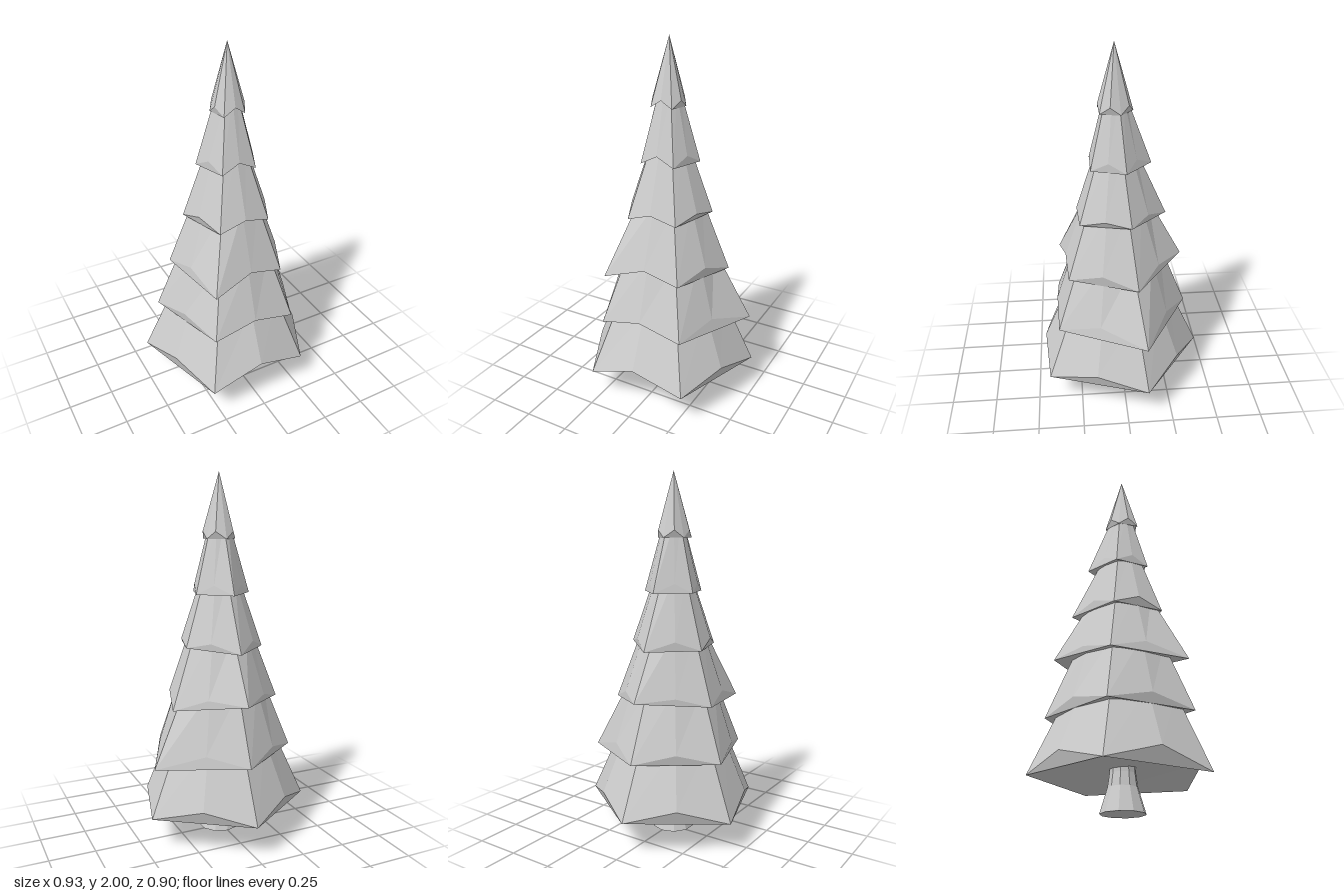
import * as THREE from 'three';

const AXIS_Z = 0.035; // the tree stands slightly forward of the origin

// Each tier: radius and height of the valleys, then radius and height of the
// five branch tips (back, left-back, left-front, right-front, right-back).
const TIERS = [
  { r: 0.417, y: 0.25, tipR: [0.485, 0.488, 0.487, 0.487, 0.488], tipY: [0.18, 0.175, 0.18, 0.155, 0.17] },
  { r: 0.338, y: 0.53, tipR: [0.405, 0.465, 0.41, 0.41, 0.405], tipY: [0.475, 0.45, 0.47, 0.47, 0.475] },
  { r: 0.28, y: 0.82, tipR: [0.37, 0.335, 0.33, 0.39, 0.325], tipY: [0.80, 0.75, 0.765, 0.75, 0.77] },
  { r: 0.21, y: 1.11, tipR: [0.28, 0.237, 0.245, 0.245, 0.24], tipY: [1.06, 1.08, 1.07, 1.06, 1.06] },
  { r: 0.135, y: 1.41, tipR: [0.195, 0.165, 0.165, 0.165, 0.165], tipY: [1.36, 1.36, 1.36, 1.36, 1.36] },
  { r: 0.088, y: 1.69, tipR: [0.097, 0.088, 0.1, 0.105, 0.088], tipY: [1.65, 1.65, 1.65, 1.65, 1.65] },
];

// Underside: a flap below each valley except the front one, then a fan from it
const UNDERSIDE = [
  [0, 1, 2], [2, 3, 4], [6, 7, 8], [8, 9, 0],
  [5, 6, 8], [5, 8, 0], [5, 0, 2], [5, 2, 4],
];

// Point around the trunk axis; step 0 is the back, ten steps per turn
function ringPoint(step, r, y) {
  const a = (step * Math.PI) / 5;
  return [r * Math.sin(a), y, AXIS_Z - r * Math.cos(a)];
}

// Star-hemmed skirt: sloping outside plus a closed underside
function tierGeometry(tier, next) {
  const topR = next ? next.r - 0.03 : 0;
  const topY = next ? next.y + 0.04 : 2;
  const hem = [], top = [], pos = [];
  for (let i = 0; i < 10; i++) {
    const tip = i % 2 === 0, k = i / 2;
    let y = tip ? tier.tipY[k] : tier.y;
    if (tier === TIERS[0] && i === 5) y += 0.02; // raised front arch
    hem.push(ringPoint(i, tip ? tier.tipR[k] : tier.r, y));
    top.push(ringPoint(i, tip ? topR : topR * 0.93, topY));
  }
  for (let i = 0; i < 10; i++) {
    const j = (i + 1) % 10;
    pos.push(...hem[j], ...hem[i], ...top[i]);
    if (next) pos.push(...top[i], ...top[j], ...hem[j]);
  }
  for (const face of UNDERSIDE) for (const i of face) pos.push(...hem[i]);
  const geometry = new THREE.BufferGeometry();
  geometry.setAttribute('position', new THREE.Float32BufferAttribute(pos, 3));
  geometry.computeVertexNormals();
  return geometry;
}

export function createModel() {
  const group = new THREE.Group();
  group.name = 'pineTree';
  const material = new THREE.MeshStandardMaterial({ color: 0xcccccc, flatShading: true });

  // Foliage, from the lowest skirt to the pointed top
  TIERS.forEach((tier, i) => {
    const mesh = new THREE.Mesh(tierGeometry(tier, TIERS[i + 1]), material);
    mesh.name = `foliageTier${i + 1}`;
    group.add(mesh);
  });

  // Trunk, flaring at the foot
  const profile = [[0, 0], [0.118, 0], [0.078, 0.13], [0.068, 0.2], [0.066, 0.25]];
  const trunk = new THREE.Mesh(
    new THREE.LatheGeometry(profile.map(([r, y]) => new THREE.Vector2(r, y)), 10), material);
  trunk.name = 'trunk';
  trunk.position.z = AXIS_Z;
  group.add(trunk);

  return group;
}
